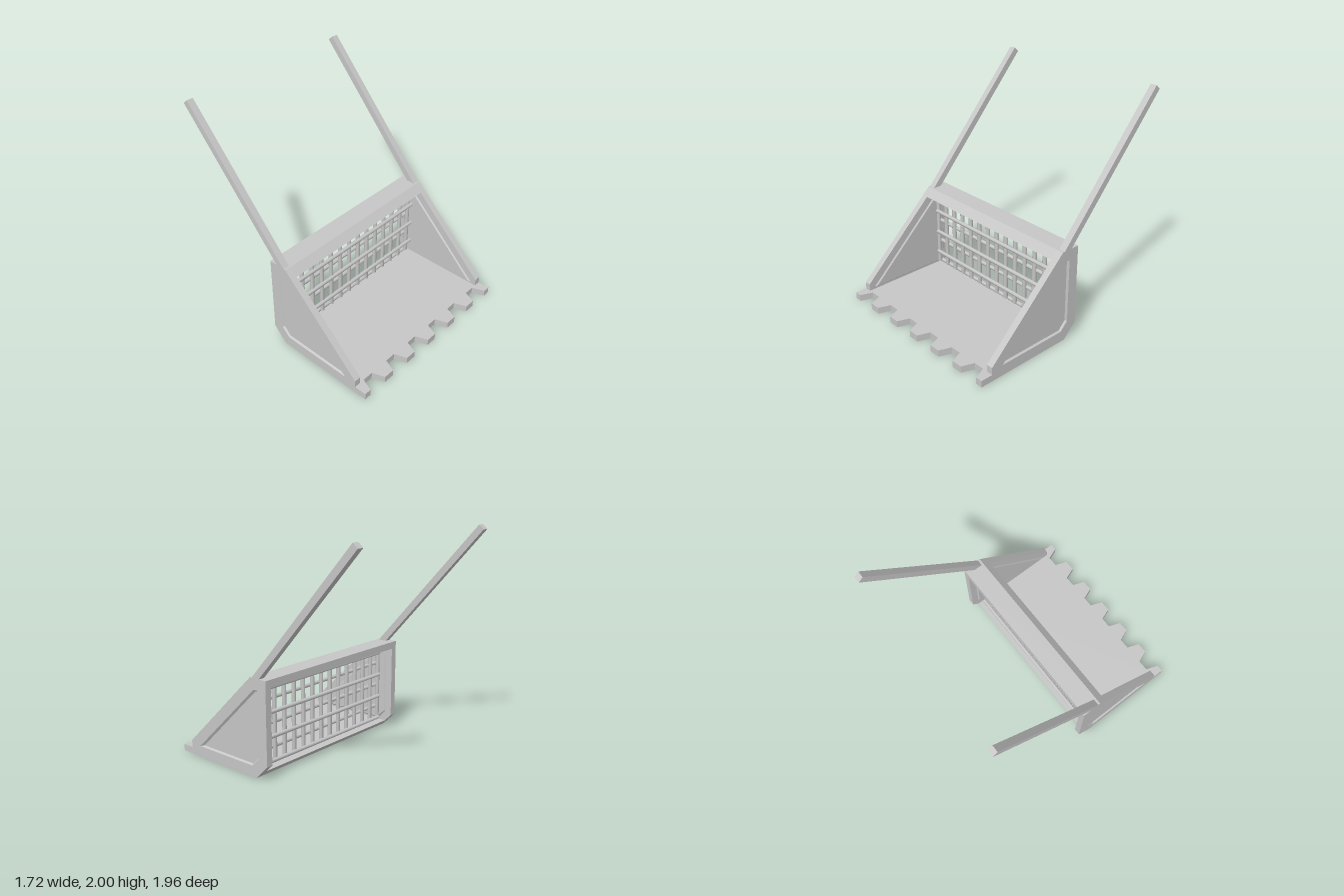
import * as THREE from 'three';
import { mergeVertices } from 'three/addons/utils/BufferGeometryUtils.js';

const steel = new THREE.MeshStandardMaterial({ color: 0xc6c6c6 });
steel.name = 'grey steel';

const shapeOf = (pts) => new THREE.Shape(pts.map(([a, b]) => new THREE.Vector2(a, b)));

// Extrude a (z, y) side profile along x, from x0 to x1
function profileX(pts, x0, x1, hole) {
  const shape = shapeOf(pts);
  if (hole) shape.holes.push(shapeOf(hole));
  const geo = new THREE.ExtrudeGeometry(shape, { depth: x1 - x0, bevelEnabled: false });
  return geo.rotateY(-Math.PI / 2).translate(x1, 0, 0);
}

// Flat panel with a sloped rim: outline a at xa, smaller outline b at xb, facing +x or -x
function rimmedPanel(a, b, xa, xb, facing) {
  const pos = [];
  const tri = (p, q, r) => pos.push(...p, ...(facing > 0 ? [...q, ...r] : [...r, ...q]));
  const A = a.map(([z, y]) => [xa, y, z]);
  const B = b.map(([z, y]) => [xb, y, z]);
  A.forEach((p, i) => {
    const j = (i + 1) % A.length;
    tri(p, A[j], B[j]);
    tri(p, B[j], B[i]);
    if (i > 0 && i < A.length - 1) tri(B[0], B[i], B[j]);
  });
  const geo = new THREE.BufferGeometry();
  geo.setAttribute('position', new THREE.Float32BufferAttribute(pos, 3));
  geo.computeVertexNormals();
  return geo;
}

// Rod with soft normals that run over its ends
function rod(radius, length) {
  const geo = new THREE.CylinderGeometry(radius, radius, length, 8);
  geo.deleteAttribute('normal');
  geo.deleteAttribute('uv');
  const soft = mergeVertices(geo, 1e-4);
  soft.computeVertexNormals();
  return soft;
}

export function createModel() {
  const model = new THREE.Group();
  model.name = 'loaderBucket';
  const add = (name, geo, parent = model) => {
    const mesh = new THREE.Mesh(geo, steel);
    mesh.name = name;
    parent.add(mesh);
    return mesh;
  };

  // Side walls with a sunken outer panel and raised inner panel, plus lift arms
  const wall = [[0.87, 0], [0.87, 0.125], [0.11, 0.85], [-0.065, 0.85], [-0.065, 0.125], [0.06, 0]];
  const outerRim = [[0.76, 0.097], [0.105, 0.097], [0.03, 0.172], [0.03, 0.752], [0.073, 0.752]];
  const outerFlat = [[0.72, 0.11], [0.11, 0.11], [0.045, 0.178], [0.045, 0.738], [0.063, 0.738]];
  const innerRim = [[0.82, 0.075], [0.08, 0.075], [0, 0.155], [0, 0.785], [0.076, 0.785]];
  const innerFlat = [[0.79, 0.085], [0.085, 0.085], [0.01, 0.16], [0.01, 0.775], [0.068, 0.775]];
  const arm = [[0.09, 0.85], [0.01, 0.85], [-0.98, 1.962], [-0.935, 2]];
  for (const s of [1, -1]) {
    const side = s > 0 ? 'left' : 'right';
    const x0 = s > 0 ? 0.8 : -0.86;
    add(side + 'Wall', profileX(wall, x0, x0 + 0.06, outerRim));
    add(side + 'OuterPanel', rimmedPanel(outerRim, outerFlat, s * 0.86, s * 0.845, s));
    add(side + 'InnerPanel', rimmedPanel(innerRim, innerFlat, s * 0.8, s * 0.79, -s));
    add(side + 'Arm', profileX(arm, x0, x0 + 0.06));
  }

  // Floor and top beam between the walls
  add('floor', profileX([[0.87, 0], [0.87, 0.06], [0, 0.06], [0.06, 0]], -0.8, 0.8));
  add('topBeam', profileX([[0.178, 0.785], [0.11, 0.85], [-0.065, 0.85], [-0.065, 0.785]], -0.8, 0.8));

  // Digging teeth, the end ones cut off at the walls
  const teeth = new THREE.Group();
  teeth.name = 'teeth';
  model.add(teeth);
  const clamp = (x) => THREE.MathUtils.clamp(x, -0.86, 0.86);
  for (let i = 0; i < 7; i++) {
    const c = (i - 3) * 0.2825;
    const pts = [[c - 0.091, 0.87], [c + 0.091, 0.87], [c + 0.05, 0.98], [c - 0.05, 0.98]];
    const shape = shapeOf(pts.map(([x, z]) => [clamp(x), z]));
    const geo = new THREE.ExtrudeGeometry(shape, { depth: 0.06, bevelEnabled: false });
    add('tooth', geo.rotateX(Math.PI / 2).translate(0, 0.06, 0), teeth);
  }

  // Back grille: upright rods with cross rods alternately before and behind
  const grille = new THREE.Group();
  grille.name = 'backGrille';
  model.add(grille);
  const upright = rod(0.019, 0.69);
  const cross = rod(0.018, 1.54).rotateZ(Math.PI / 2);
  for (let i = 0; i < 14; i++) {
    add('uprightRod', upright, grille).position.set(-0.765 + i * 0.116, 0.44, 0.075);
  }
  for (let i = 0; i < 7; i++) {
    add('crossRod', cross, grille).position.set(0.01, 0.095 + i * 0.107, 0.075 + (i % 2 ? 0.02 : -0.02));
  }
  return model;
}
